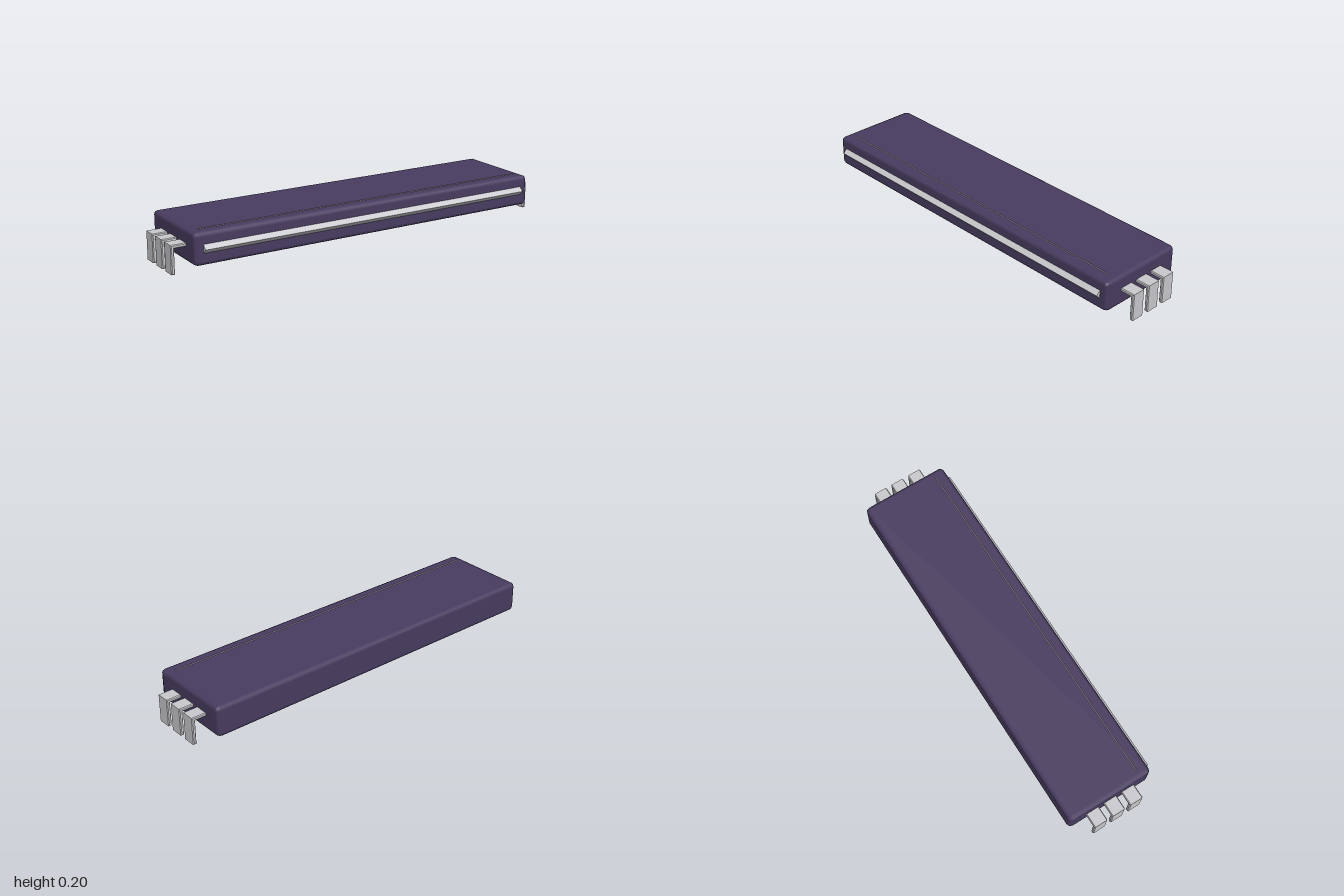
import * as THREE from 'three';
import { RoundedBoxGeometry } from 'three/addons/geometries/RoundedBoxGeometry.js';

const purple = new THREE.MeshStandardMaterial({ color: 0x483c60 });
purple.name = 'purple casing';
const metal = new THREE.MeshStandardMaterial({ color: 0xcacace });
metal.name = 'pale metal';

function addMesh(parent, name, geometry, material, x, y, z) {
  const mesh = new THREE.Mesh(geometry, material);
  mesh.name = name;
  mesh.position.set(x, y, z);
  parent.add(mesh);
  return mesh;
}

export function createModel() {
  const model = new THREE.Group();
  model.name = 'chip';

  // Casing with softened edges
  addMesh(model, 'casing', new RoundedBoxGeometry(1.854, 0.154, 0.444, 1, 0.021), purple, 0, 0.124, -0.01);

  // Square bars set on edge, showing as ridges on the front and top
  const bar = new THREE.BoxGeometry(1.77, 0.05, 0.05);
  addMesh(model, 'frontRidge', bar, metal, 0, 0.127, 0.197).rotation.x = Math.PI / 4;
  addMesh(model, 'topRidge', bar, metal, 0, 0.168, 0.154).rotation.x = Math.PI / 4;

  // Bent legs: an L profile extruded across its width, with bevelled edges
  const b = 0.004;
  const profile = new THREE.Shape([
    [0.9, 0.137 - b], [0.9, 0.12 + b], [0.983 + b, 0.12 + b],
    [0.983 + b, b], [1 - b, b], [1 - b, 0.137 - b],
  ].map(([x, y]) => new THREE.Vector2(x, y)));
  const leg = new THREE.ExtrudeGeometry(profile, {
    depth: 0.07 - 2 * b, bevelEnabled: true, bevelThickness: b, bevelSize: b, bevelSegments: 1,
  });
  leg.translate(0, 0, b - 0.035);

  for (const side of [1, -1]) {
    const row = new THREE.Group();
    row.name = side > 0 ? 'leftLegs' : 'rightLegs';
    // half turn keeps faces outward on the opposite side
    for (const z of [0.088, -0.01, -0.107]) {
      const mesh = addMesh(row, 'leg', leg, metal, 0, 0, z);
      if (side < 0) mesh.rotation.y = Math.PI;
    }
    model.add(row);
  }
  return model;
}
